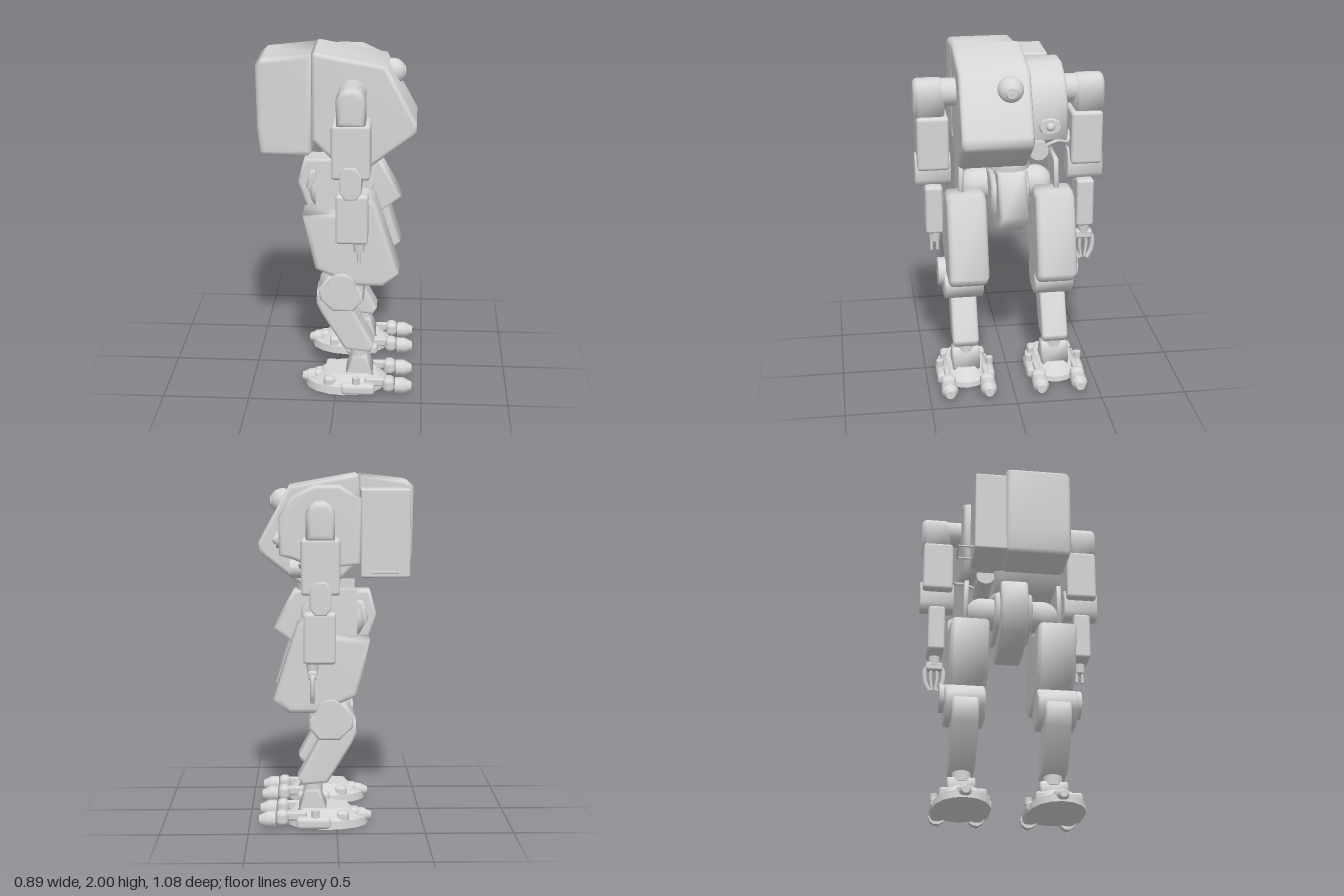
import * as THREE from 'three';
import { RoundedBoxGeometry } from 'three/addons/geometries/RoundedBoxGeometry.js';
import { mergeVertices } from 'three/addons/utils/BufferGeometryUtils.js';

const metal = new THREE.MeshStandardMaterial({ color: 0xd6d6d6 });
metal.name = 'grey metal';

export function createModel() {
  const root = new THREE.Group();
  root.name = 'walkingRobot';

  const add = (name, geo, parent = root) => {
    const m = new THREE.Mesh(geo, metal);
    m.name = name;
    parent.add(m);
    return m;
  };
  // Smooth bevelled slab: an x/y outline stretched between two z values
  const slab = (name, pts, za, zb, bevel, parent) => {
    const z0 = Math.min(za, zb), z1 = Math.max(za, zb);
    const shape = new THREE.Shape(pts.map(p => new THREE.Vector2(p[0], p[1])));
    const raw = new THREE.ExtrudeGeometry(shape, {
      depth: z1 - z0 - 2 * bevel, bevelEnabled: true, bevelSize: bevel,
      bevelThickness: bevel, bevelOffset: -bevel, bevelSegments: 3,
    });
    raw.translate(0, 0, z0 + bevel);
    raw.deleteAttribute('uv');
    raw.deleteAttribute('normal');
    const geo = mergeVertices(raw, 1e-4);
    geo.clearGroups();
    geo.computeVertexNormals();
    return add(name, geo, parent);
  };
  const box = (name, x, y, z, w, h, d, r, parent) => {
    const m = add(name, new RoundedBoxGeometry(w, h, d, 3, r), parent);
    m.position.set(x, y, z);
    return m;
  };
  // Cylinder along a chosen axis; ra is the radius at its positive end
  const cyl = (name, axis, ra, rb, len, x, y, z, parent, sides = 20) => {
    const geo = new THREE.CylinderGeometry(ra, rb, len, sides);
    if (axis === 'x') geo.rotateZ(-Math.PI / 2);
    if (axis === 'z') geo.rotateX(Math.PI / 2);
    const m = add(name, geo, parent);
    m.position.set(x, y, z);
    return m;
  };
  const ball = (name, r, x, y, z, parent) => {
    const m = add(name, new THREE.SphereGeometry(r, 20, 14), parent);
    m.position.set(x, y, z);
    return m;
  };
  const tube = (name, pts, r, parent) => {
    const curve = new THREE.CatmullRomCurve3(pts.map(p => new THREE.Vector3(...p)), false, 'centripetal');
    return add(name, new THREE.TubeGeometry(curve, 24, r, 8), parent);
  };

  // Large armoured body block
  slab('mainBody', [[-0.14, 1.51], [0, 1.36], [0.2, 1.36], [0.42, 1.53], [0.445, 1.56], [0.445, 1.61],
    [0.27, 1.93], [-0.12, 2], [-0.14, 1.99]], -0.1, 0.3, 0.025);
  // Rear pack and the smaller box beside it
  slab('rearPack', [[-0.41, 1.41], [-0.165, 1.41], [-0.14, 1.43], [-0.14, 1.995], [-0.41, 1.965],
    [-0.45, 1.93], [-0.445, 1.56], [-0.43, 1.43]], -0.08, 0.3, 0.03);
  box('sidePack', -0.28, 1.67, -0.165, 0.28, 0.5, 0.19, 0.012);
  for (const x of [-0.35, -0.205]) tube('packHandleArm', [[x, 1.46, -0.25], [x, 1.46, -0.35]], 0.006);
  tube('packHandleBar', [[-0.35, 1.46, -0.345], [-0.205, 1.46, -0.345]], 0.006);

  // Smaller secondary head with its eye
  slab('smallHead', [[-0.14, 1.5], [0.1, 1.47], [0.25, 1.53], [0.32, 1.55], [0.325, 1.76], [0.25, 1.88],
    [0.12, 1.94], [-0.02, 1.94], [-0.14, 1.87]], -0.3, -0.09, 0.02);
  cyl('eyeRim', 'x', 0.05, 0.06, 0.03, 0.325, 1.63, -0.2, root, 8).scale.set(1, 0.85, 1.2);
  ball('eye', 0.024, 0.337, 1.63, -0.2);
  cyl('lowerSensor', 'x', 0.055, 0.055, 0.26, 0.13, 1.465, -0.15);
  tube('sensorCable', [[0.2, 1.47, -0.19], [0.2, 1.5, -0.26], [0.15, 1.48, -0.33], [0.1, 1.53, -0.35]], 0.01);

  // Domed lamp on the sloped brow
  ball('lamp', 0.075, 0.305, 1.84, 0.018);
  cyl('lampLens', 'x', 0.03, 0.04, 0.015, 0.37, 1.84, 0.018);

  // Waist and pelvis
  cyl('waistCollar', 'y', 0.12, 0.12, 0.03, 0.1, 1.345, 0);
  cyl('waistPost', 'y', 0.09, 0.09, 0.06, 0.1, 1.32, 0);
  slab('pelvis', [[-0.2, 1.33], [-0.24, 1.19], [-0.18, 1.01], [0, 0.95], [0.16, 0.95], [0.365, 1.11],
    [0.24, 1.33]], -0.082, 0.082, 0.02);
  slab('pelvisFlange', [[-0.16, 1.27], [-0.19, 1.17], [-0.13, 1.06], [0.05, 1.03], [0.2, 1.08], [0.2, 1.24],
    [0.1, 1.3]], -0.112, 0.112, 0.02);

  for (const s of [1, -1]) {
    const side = s > 0 ? 'right' : 'left';
    const leg = new THREE.Group();
    leg.name = side + 'Leg';
    const arm = new THREE.Group();
    arm.name = side + 'Arm';
    root.add(leg, arm);

    // Hip, thigh and upright hip plate
    cyl('hipAxle', 'z', 0.095, 0.095, 0.14, -0.06, 1.17, s * 0.13, leg);
    ball('hipBall', 0.1, -0.06, 1.165, s * 0.18, leg);
    slab('thigh', [[-0.19, 1.08], [-0.12, 0.76], [0.1, 0.66], [0.27, 0.66], [0.36, 0.74], [0.22, 1.17],
      [0.17, 1.19], [0.06, 1.19], [0, 1.1]], s * 0.14, s * 0.37, 0.03, leg);
    const plate = slab('hipPlate', [[-0.12, 0], [0.14, 0], [0.11, 0.27], [-0.12, 0.27]], -0.014, 0.014, 0.005, leg);
    plate.position.set(0, 1.09, s * 0.28);
    plate.rotation.x = s * -0.02;

    // Knee and shin
    slab('kneeHousing', [[-0.09, 0.58], [-0.02, 0.51], [0.1, 0.51], [0.16, 0.58], [0.15, 0.63], [0.08, 0.72],
      [-0.04, 0.72], [-0.1, 0.65]], s * 0.15, s * 0.385, 0.015, leg);
    cyl('kneeDisc', 'z', 0.083, 0.083, 0.06, 0.035, 0.66, s * 0.385, leg);
    slab('shin', [[-0.11, 0.62], [-0.115, 0.54], [-0.09, 0.48], [0.05, 0.25], [0.2, 0.235], [0.22, 0.28],
      [0.1, 0.5], [0.06, 0.62]], s * 0.19, s * 0.345, 0.02, leg);

    // Ankle
    cyl('ankleJoint', 'y', 0.055, 0.055, 0.07, 0.135, 0.22, s * 0.265, leg);
    slab('ankleBlock', [[0.05, 0.09], [0.22, 0.09], [0.175, 0.21], [0.1, 0.21]], s * 0.185, s * 0.35, 0.012, leg);

    // Foot: sole, sloped top, two front toes and one heel toe
    const fz = s * 0.27;
    cyl('sole', 'y', 0.16, 0.165, 0.045, 0.05, 0.0225, fz, leg, 16).scale.x = 1.42;
    cyl('footTop', 'y', 0.11, 0.16, 0.06, 0.08, 0.075, fz, leg, 16).scale.x = 1.4;
    for (const t of [1, -1]) {
      const z = fz + t * 0.115;
      box('toeLink', 0.24, 0.07, z, 0.14, 0.05, 0.035, 0.012, leg);
      box('toeKnuckle', 0.31, 0.06, z, 0.07, 0.09, 0.085, 0.03, leg);
      cyl('toe', 'x', 0.048, 0.048, 0.05, 0.372, 0.05, z, leg, 10);
      cyl('toeTip', 'x', 0.026, 0.048, 0.046, 0.42, 0.048, z, leg, 10);
      cyl('footBolt', 'y', 0.022, 0.022, 0.04, 0.12, 0.09, fz + t * 0.15, leg, 12);
      box('footLobe', 0.13, 0.035, fz + t * 0.13, 0.2, 0.07, 0.085, 0.025, leg);
      box('footSideKnob', -0.035, 0.06, fz + t * 0.1, 0.07, 0.07, 0.07, 0.02, leg);
    }
    box('heelKnuckle', -0.09, 0.05, fz, 0.09, 0.08, 0.085, 0.025, leg);
    cyl('heelToe', 'x', 0.045, 0.04, 0.04, -0.145, 0.042, fz, leg, 12);
    cyl('heelToeTip', 'x', 0.04, 0.022, 0.04, -0.182, 0.04, fz, leg, 12);

    // Shoulder
    cyl('shoulderAxle', 'z', 0.078, 0.078, 0.17, 0.09, 1.78, s * 0.385, arm);
    slab('shoulderCap', [[0.01, 1.65], [0.17, 1.65], [0.17, 1.8], [0.145, 1.845], [0.11, 1.862],
      [0.07, 1.862], [0.035, 1.845], [0.01, 1.8]], s * 0.365, s * 0.54, 0.03, arm);

    // Upper arm, elbow and forearm
    box('upperArm', 0.09, 1.505, s * 0.437, 0.215, 0.31, 0.18, 0.02, arm);
    slab('elbow', [[0.03, 1.28], [0.06, 1.24], [0.12, 1.24], [0.15, 1.28], [0.15, 1.38], [0.12, 1.425],
      [0.06, 1.425], [0.03, 1.38]], s * 0.335, s * 0.54, 0.01, arm);
    box('forearm', 0.095, 1.105, s * 0.437, 0.18, 0.285, 0.1, 0.018, arm);
    cyl('wrist', 'y', 0.035, 0.03, 0.06, 0.135, 0.937, s * 0.437, arm);

    if (s > 0) {
      // Two-pronged tool
      for (const z of [0.42, 0.455]) cyl('prong', 'y', 0.009, 0.009, 0.07, 0.135, 0.883, z, arm, 8);
    } else {
      // Gripping claw
      box('palm', 0.135, 0.9, -0.437, 0.05, 0.05, 0.1, 0.012, arm);
      for (const t of [1, -1]) {
        tube('clawFinger', [[0.135, 0.91, -0.437 + t * 0.03], [0.135, 0.875, -0.437 + t * 0.053],
          [0.135, 0.8, -0.437 + t * 0.05], [0.135, 0.745, -0.437 + t * 0.025]], 0.014, arm);
        tube('innerFinger', [[0.135, 0.9, -0.437 + t * 0.012], [0.135, 0.84, -0.437 + t * 0.02],
          [0.135, 0.75, -0.437 + t * 0.01]], 0.009, arm);
      }
    }
  }
  return root;
}
